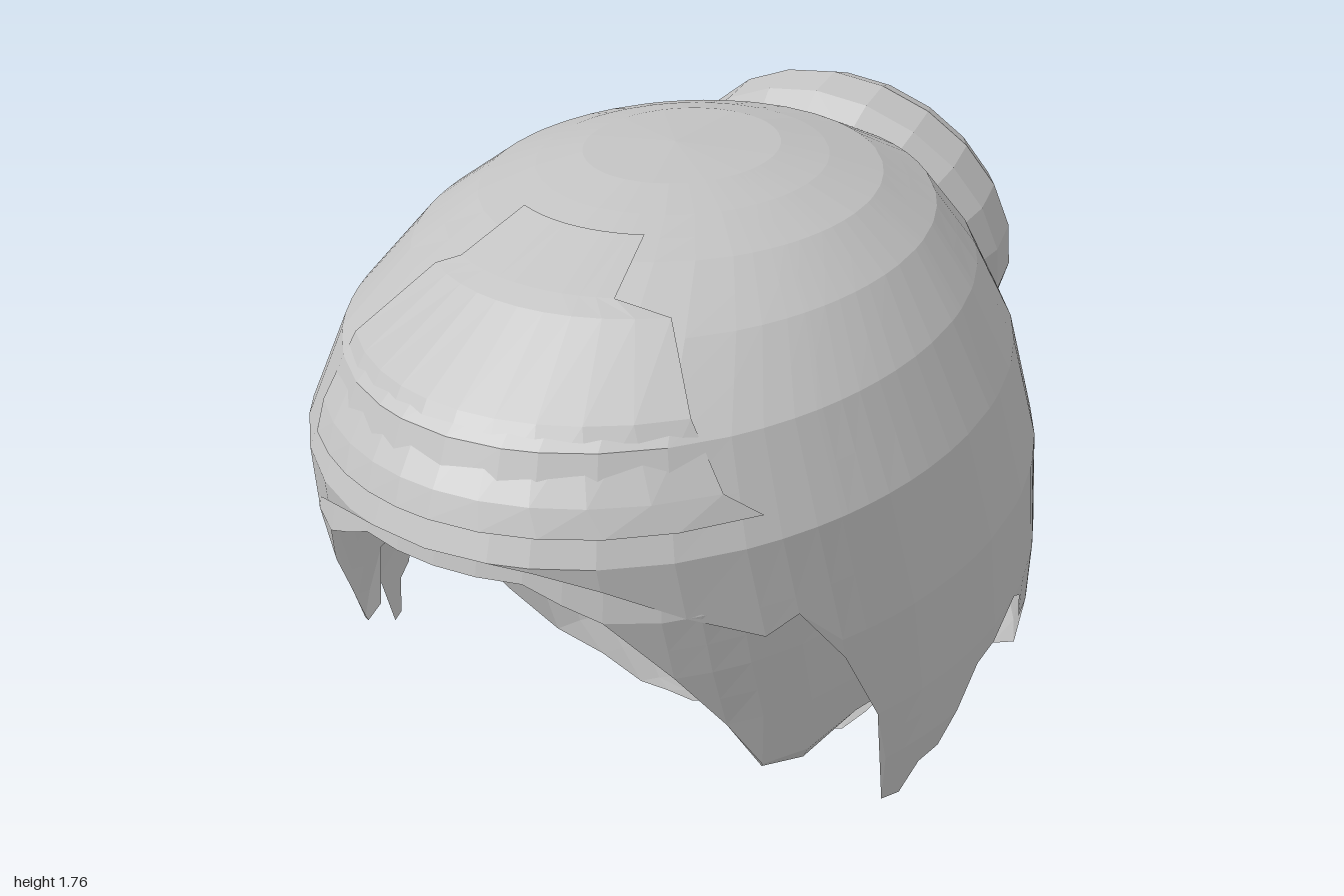
import * as THREE from 'three';

// Horizontal cross-sections: [y, half width, front z, back z]
const OUTER = [
  [1.76, 0, 0.08, 0.08], [1.745, 0.2, 0.28, -0.18], [1.72, 0.3, 0.38, -0.29], [1.68, 0.41, 0.52, -0.43], [1.6, 0.52, 0.71, -0.6],
  [1.47, 0.62, 0.91, -0.73], [1.28, 0.71, 1, -0.85], [1, 0.76, 0.97, -0.97], [0.75, 0.775, 0.9, -0.985],
  [0.6, 0.775, 0.85, -0.96], [0.45, 0.76, 0.8, -0.92], [0.3, 0.67, 0.7, -0.84], [0.1, 0.49, 0.5, -0.71], [0, 0.4, 0.4, -0.66],
];
const LINING = [
  [1.74, 0, 0.08, 0.08], [1.72, 0.2, 0.28, -0.2], [1.66, 0.38, 0.5, -0.4], [1.57, 0.5, 0.7, -0.48], [1.45, 0.58, 0.86, -0.48],
  [1.27, 0.62, 0.97, -0.48], [1.15, 0.64, 1, -0.48], [1, 0.65, 0.96, -0.47], [0.84, 0.66, 0.9, -0.44], [0.7, 0.65, 0.87, -0.4],
  [0.62, 0.61, 0.82, -0.37], [0.45, 0.52, 0.66, -0.32], [0.3, 0.45, 0.59, -0.27], [0.13, 0.29, 0.4, -0.21], [0.06, 0.18, 0.4, -0.2],
];

// Ragged hems of one side, front to back: [z, y]
const OUTER_HEM = [
  [1, 1.28], [0.985, 1.28], [0.96, 1.27], [0.9, 1.23], [0.8, 1.15], [0.68, 1.07], [0.62, 1.1], [0.52, 0.95], [0.42, 0.75],
  [0.35, 0.46], [0.3, 0.45], [0.26, 0.52], [0.2, 0.53], [0.15, 0.6], [0.08, 0.69], [0, 0.7], [-0.12, 0.75],
  [-0.17, 0.72], [-0.2, 0.64], [-0.31, 0.61], [-0.335, 0.46], [-0.42, 0.37], [-0.5, 0.3], [-0.57, 0.2],
  [-0.61, 0.1], [-0.66, 0.08], [-0.65, 0], [-0.66, 0],
];
const LINING_HEM = [
  [0.98, 1.23], [0.95, 1.23], [0.9, 1.16], [0.8, 1], [0.7, 0.84], [0.62, 0.69], [0.52, 0.66], [0.42, 0.74], [0.3, 0.72],
  [0.15, 0.62], [0.08, 0.45], [0, 0.3], [-0.1, 0.13], [-0.16, 0.07], [-0.2, 0.06],
];

// Interpolated ellipse at height y
function section(table, y) {
  let i = 0;
  while (i < table.length - 2 && table[i + 1][0] > y) i++;
  const a = table[i], b = table[i + 1];
  const t = THREE.MathUtils.clamp((a[0] - y) / (a[0] - b[0]), 0, 1);
  const [w, f, k] = [1, 2, 3].map((c) => THREE.MathUtils.lerp(a[c], b[c], t));
  return { w, mid: (f + k) / 2, half: (f - k) / 2 };
}

function pointOn(table, angle, y) {
  const s = section(table, y);
  return [s.w * Math.sin(angle), y, s.mid + s.half * Math.cos(angle)];
}

// Surface through a list of equally long rows of points
function gridGeometry(rows) {
  const n = rows[0].length, index = [];
  for (let r = 0; r < rows.length - 1; r++) {
    for (let c = 0; c < n - 1; c++) {
      const a = r * n + c, b = a + n;
      index.push(a, b, a + 1, a + 1, b, b + 1);
    }
  }
  const g = new THREE.BufferGeometry();
  g.setAttribute('position', new THREE.Float32BufferAttribute(rows.flat(2), 3));
  g.setIndex(index);
  g.computeVertexNormals();
  return g;
}

// Hem of one side as [angle, y], never turning back, with wide gaps subdivided
function hemColumns(table, hem) {
  const side = [];
  hem.forEach(([z, y], i) => {
    const s = section(table, y);
    let angle = Math.acos(THREE.MathUtils.clamp((z - s.mid) / s.half, -1, 1));
    if (i === 0) angle = 0;
    if (i === hem.length - 1) angle = Math.PI;
    if (i > 0) {
      const [a0, y0] = side[side.length - 1];
      angle = Math.max(angle, a0 + 0.012);
      const steps = Math.ceil((angle - a0) / 0.2);
      for (let k = 1; k < steps; k++) {
        side.push([THREE.MathUtils.lerp(a0, angle, k / steps), THREE.MathUtils.lerp(y0, y, k / steps)]);
      }
    }
    side.push([angle, y]);
  });
  return side;
}

// Dome of level bands, cut off along a mirrored hem
function domeGeometry(table, hem) {
  const side = hemColumns(table, hem);
  const columns = [...side.slice(1).reverse().map(([a, y]) => [-a, y]), ...side];
  const levels = table.flatMap(([y], i) => (i ? [(y + table[i - 1][0]) / 2, y] : [y]));
  return gridGeometry(levels.map((level) => columns.map(([a, y]) => pointOn(table, a, Math.max(level, y)))));
}

const lathe = (points, sides) => new THREE.LatheGeometry(points.map(([r, h]) => new THREE.Vector2(r, h)), sides);

export function createModel() {
  const model = new THREE.Group();
  model.name = 'hairWithBun';
  const grey = new THREE.MeshStandardMaterial({ color: 0xc2c2c2, flatShading: true, side: THREE.DoubleSide });
  grey.name = 'hairGrey';
  const add = (name, geometry, parent = model) => {
    const mesh = new THREE.Mesh(geometry, grey);
    mesh.name = name;
    parent.add(mesh);
    return mesh;
  };

  add('outerHair', domeGeometry(OUTER, OUTER_HEM));
  add('innerHair', domeGeometry(LINING, LINING_HEM));

  // Raised layer above the forehead: [y, left half width, right half width]
  const patch = [[1.7, 0.13, 0.15], [1.64, 0.16, 0.2], [1.62, 0.27, 0.25], [1.5, 0.38, 0.36], [1.38, 0.46, 0.39], [1.33, 0.52, 0.38]];
  add('foreheadLayer', gridGeometry(patch.map(([y, left, right]) => {
    const row = [];
    for (let i = -5; i <= 5; i++) {
      const angle = Math.asin(((i > 0 ? left : right) * i) / 5 / section(OUTER, y).w);
      const [px, py, pz] = pointOn(OUTER, angle, y);
      row.push([px * 1.012, 1 + (py - 1) * 1.012, pz * 1.008]);
    }
    return row;
  })));

  // Bun, tilted on the back of the head, its dimple sitting a little low
  const coil = lathe([
    [0, -0.2], [0.2, -0.22], [0.35, -0.22], [0.42, -0.18], [0.46, -0.08], [0.45, 0.02], [0.4, 0.09],
    [0.32, 0.135], [0.23, 0.135], [0.16, 0.09], [0.11, 0.01], [0.09, -0.03], [0, -0.04],
  ], 22);
  const p = coil.attributes.position;
  for (let i = 0; i < p.count; i++) {
    const r = Math.hypot(p.getX(i), p.getZ(i));
    if (p.getY(i) > -0.1) p.setZ(i, p.getZ(i) - 0.06 * THREE.MathUtils.clamp((0.4 - r) / 0.17, 0, 1));
  }
  const bun = add('bun', coil);
  bun.position.set(0, 1.28, -0.79);
  bun.rotation.x = -THREE.MathUtils.degToRad(74);
  bun.scale.z = 0.93;

  // Root of the bun inside the hair: stepped disc, pointed centre and pleats
  const root = new THREE.Group();
  root.name = 'bunRoot';
  root.position.set(0, 1.17, -0.46);
  root.rotation.x = Math.PI / 2;
  model.add(root);
  add('rootDisc', lathe([[0, 0.08], [0.05, 0.03], [0.11, 0.02], [0.19, 0], [0.22, -0.04]], 20), root);
  for (let i = 0; i < 12; i++) {
    const a = -0.45 + i * 0.235;
    const pleat = add('pleat', new THREE.BoxGeometry(0.04, 0.04, 0.045), root);
    pleat.position.set(Math.cos(a) * 0.225, -0.01, Math.sin(a) * 0.225);
    pleat.rotation.y = -a;
  }
  return model;
}
